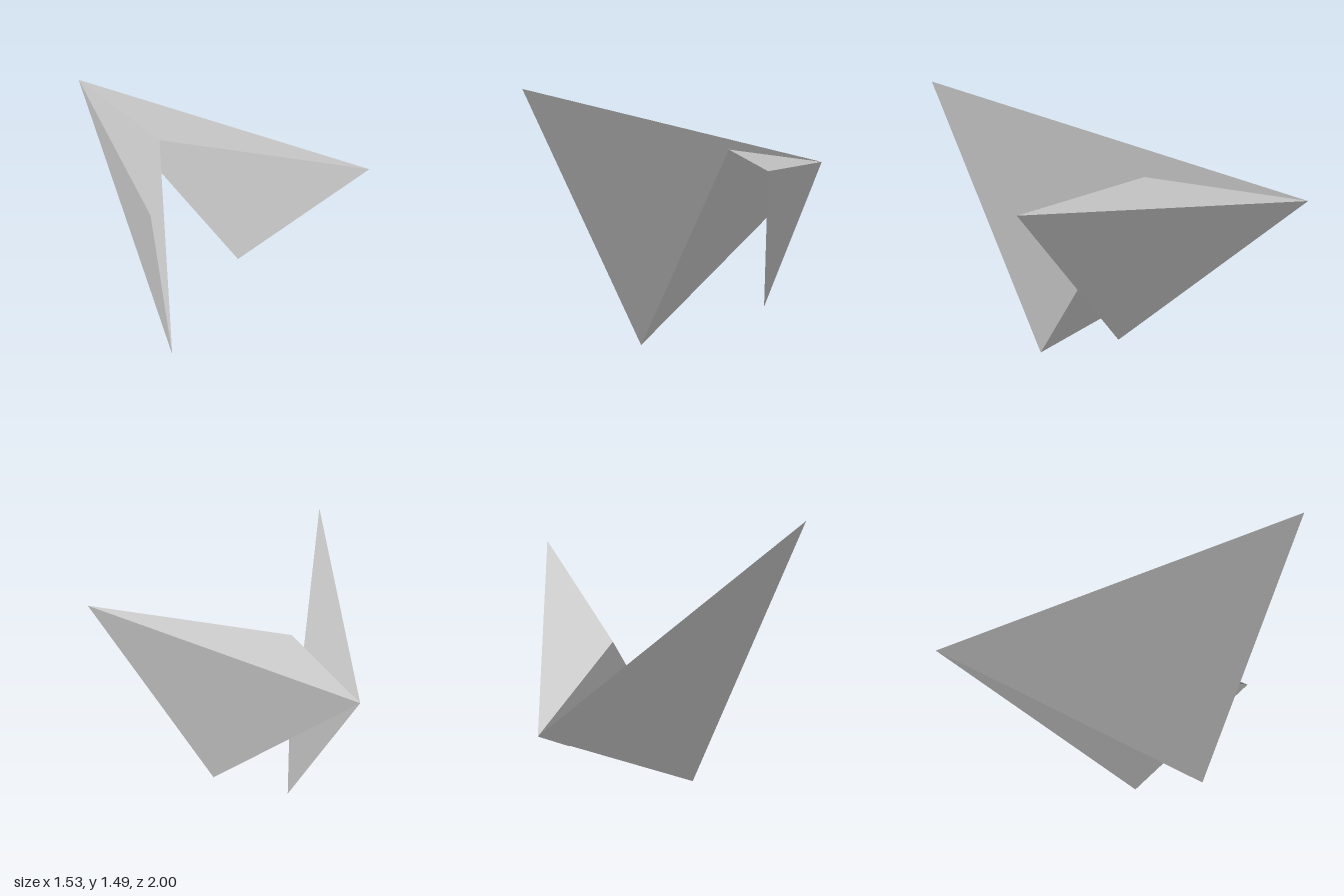
import * as THREE from 'three';

// Folded paper dart: four triangular panels meeting at a rear nose point
export function createModel() {
  const group = new THREE.Group();
  group.name = 'paperDart';
  const paper = new THREE.MeshStandardMaterial({ color: 0xcccccc, side: THREE.DoubleSide });
  paper.name = 'grey paper';

  // Shared nose and the fold points fanned around it
  const nose = [0, 0.877, -1];
  const rightWingTip = [-0.768, 1.492, 0.995];
  const rightKeel = [-0.3, 0.003, 0.475];
  const ridge = [-0.048, 1.065, -0.065];
  const leftWingTip = [0.766, 1.126, 0.862];
  const leftKeel = [0.325, 0.232, 0.172];

  function panel(name, a, b) {
    const geometry = new THREE.BufferGeometry();
    geometry.setAttribute('position', new THREE.Float32BufferAttribute([...nose, ...a, ...b], 3));
    geometry.computeVertexNormals();
    const mesh = new THREE.Mesh(geometry, paper);
    mesh.name = name;
    group.add(mesh);
  }

  panel('rightOuterPanel', rightWingTip, rightKeel);
  panel('rightInnerPanel', rightKeel, ridge);
  panel('leftTopPanel', ridge, leftWingTip);
  panel('leftOuterPanel', leftWingTip, leftKeel);
  return group;
}
